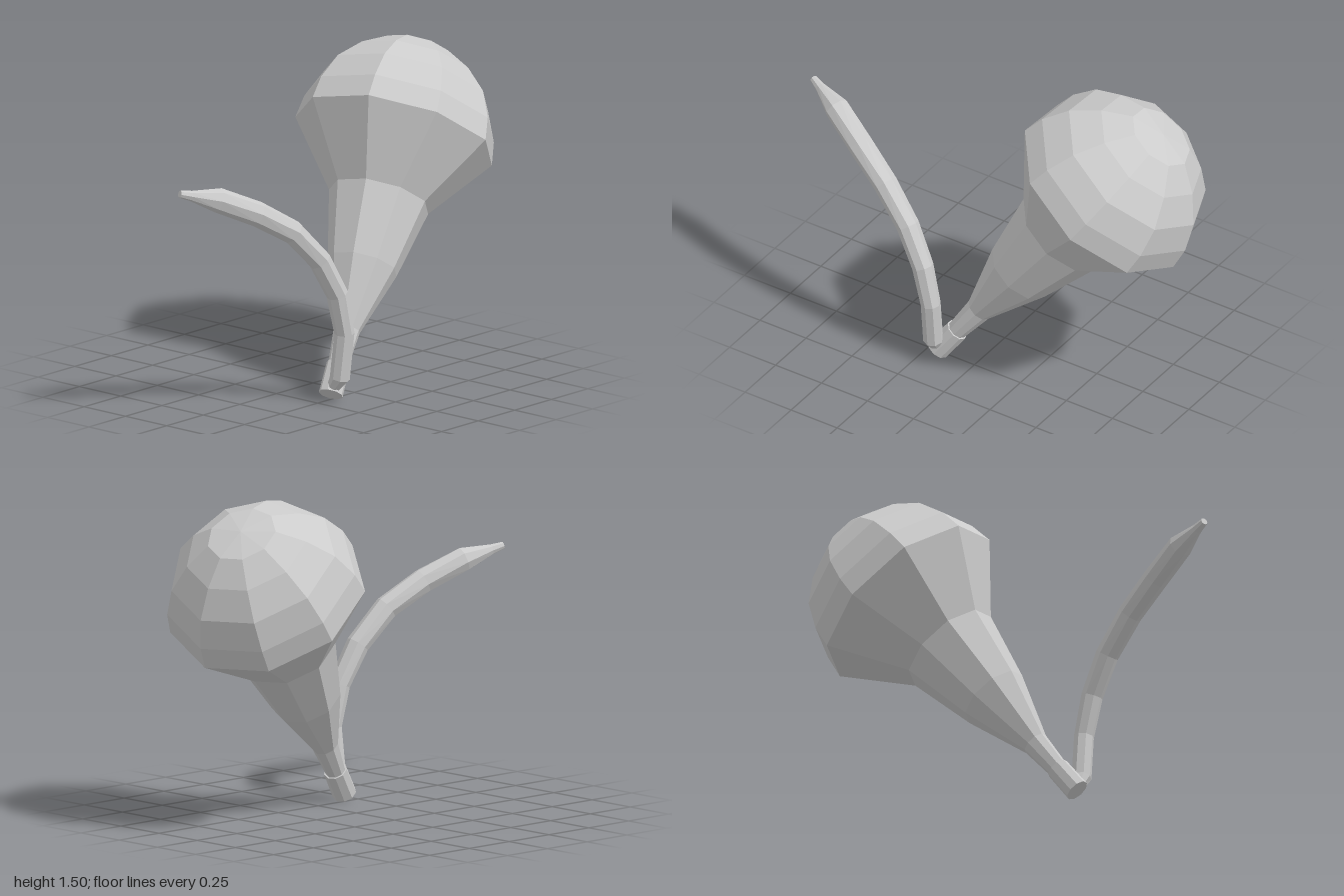
import * as THREE from 'three';

const V = (x, y, z) => new THREE.Vector3(x, y, z);
const material = new THREE.MeshStandardMaterial({ color: 0xcccccc, flatShading: true });

function addMesh(group, name, geometry) {
  const flat = geometry.toNonIndexed();
  flat.computeVertexNormals();
  const mesh = new THREE.Mesh(flat, material);
  mesh.name = name;
  group.add(mesh);
  return mesh;
}

// Sweeps a polygon along a list of [x, y, z, radius] stations, with closed ends
function sweep(stations, sides, reference) {
  const centres = stations.map(([x, y, z]) => V(x, y, z));
  const positions = [], indices = [];
  const last = stations.length - 1;
  centres.forEach((centre, i) => {
    const tangent = centres[Math.min(i + 1, last)].clone()
      .sub(centres[Math.max(i - 1, 0)]).normalize();
    const u = reference.clone().addScaledVector(tangent, -reference.dot(tangent)).normalize();
    const v = tangent.clone().cross(u);
    for (let j = 0; j < sides; j++) {
      const angle = (j + 0.5) / sides * Math.PI * 2;
      const p = centre.clone()
        .addScaledVector(u, Math.cos(angle) * stations[i][3])
        .addScaledVector(v, Math.sin(angle) * stations[i][3]);
      positions.push(p.x, p.y, p.z);
      if (i < last) {
        const a = i * sides + j, b = i * sides + (j + 1) % sides;
        indices.push(a, b, b + sides, a, b + sides, a + sides);
      }
    }
  });
  for (let j = 1; j < sides - 1; j++) {
    const top = last * sides;
    indices.push(0, j + 1, j, top, top + j, top + j + 1);
  }
  const geometry = new THREE.BufferGeometry();
  geometry.setAttribute('position', new THREE.Float32BufferAttribute(positions, 3));
  geometry.setIndex(indices);
  return geometry;
}

export function createModel() {
  const model = new THREE.Group();
  model.name = 'bulbWithTendril';

  // Leaning nine-sided bulb: profiles are [radius, distance along the axis]
  const bulb = new THREE.Group();
  bulb.name = 'bulb';
  const axis = V(0.573, 0.795, -0.205).normalize();
  const front = V(-0.36, 0.275, 0.15);
  front.addScaledVector(axis, -front.dot(axis)).normalize();
  bulb.quaternion.setFromRotationMatrix(
    new THREE.Matrix4().makeBasis(axis.clone().cross(front), axis, front));
  bulb.position.set(-0.185, 0.037, 0.272);
  model.add(bulb);

  const profiles = {
    stemBase: [[0, 0], [0.056, 0], [0.054, 0.15], [0, 0.15]],
    neck: [[0.045, 0.13], [0.061, 0.32], [0.163, 0.636], [0.235, 0.97], [0.466, 1.285]],
    dome: [[0.466, 1.285], [0.449, 1.395], [0.391, 1.525], [0.286, 1.635], [0.162, 1.715], [0, 1.735]],
  };
  for (const [name, profile] of Object.entries(profiles)) {
    addMesh(bulb, name, new THREE.LatheGeometry(profile.map(([r, h]) => new THREE.Vector2(r, h)), 9));
  }

  // Curved tendril tapering to a narrow tip
  addMesh(model, 'tendril', sweep([
    [-0.185, 0.07, 0.285, 0.03],
    [-0.178, 0.12, 0.32, 0.046],
    [-0.175, 0.335, 0.345, 0.046],
    [-0.22, 0.525, 0.342, 0.05],
    [-0.315, 0.70, 0.32, 0.053],
    [-0.46, 0.855, 0.285, 0.056],
    [-0.635, 0.965, 0.225, 0.058],
    [-0.815, 1.052, 0.148, 0.057],
    [-0.94, 1.088, 0.095, 0.024],
    [-0.992, 1.103, 0.073, 0.017],
  ], 8, V(0.35, 0.15, 0.92)));

  return model;
}
